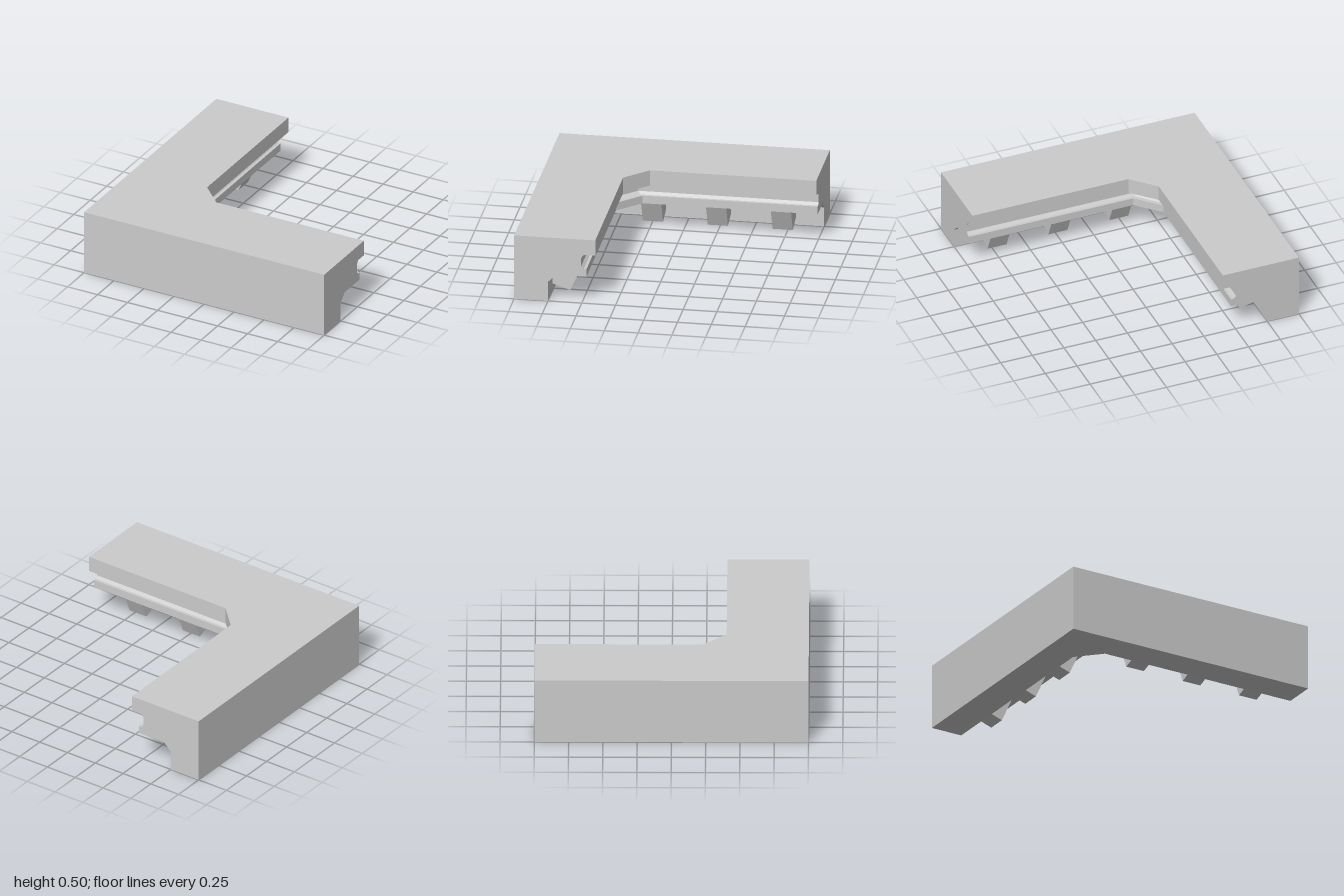
import * as THREE from 'three';

const material = new THREE.MeshStandardMaterial({ color: 0xcccccc, flatShading: true });

// Moulding profile as [distance from the corner axes, height]
const PROFILE = [
  [0.4, 0.5], [0.4, 0.38], [0.485, 0.38], [0.505, 0.355], [0.505, 0.29], [0.485, 0.27],
  [0.465, 0.27], [0.465, 0.21], [0.69, 0.21], [0.75, 0.15], [0.75, 0], [1, 0], [1, 0.5],
];
const CHAMFER = 0.17;

// Side profile of a bracket block as [distance, height]
const BRACKET = [[0.53, 0.208], [0.62, 0.01], [0.755, 0.055], [0.8, 0.07], [0.8, 0.15], [0.755, 0.152], [0.69, 0.208]];

// Where one profile point lies at each of the four stations along the L
function stations([d, y]) {
  const c = d === 1 ? 0 : CHAMFER;
  return [[1, y, d], [c - d, y, d], [-d, y, d - c], [-d, y, -1]].map(p => new THREE.Vector3(...p));
}

function createCornice() {
  const rails = PROFILE.map(stations);
  const points = [];
  const triangle = (a, b, c) => {
    const n = b.clone().sub(a).cross(c.clone().sub(a));
    if (n.lengthSq() > 1e-12) points.push(a, b, c);
    return n;
  };

  // Sweep the profile along the L with its chamfered inner corner
  rails.forEach((rail, i) => {
    const next = rails[(i + 1) % rails.length];
    for (let s = 0; s < 3; s++) {
      triangle(rail[s], next[s], next[s + 1]);
      triangle(rail[s], next[s + 1], rail[s + 1]);
    }
  });

  // Flat end caps, each turned to face outwards
  const faces = THREE.ShapeUtils.triangulateShape(PROFILE.map(p => new THREE.Vector2(...p)), []);
  for (const [s, out] of [[0, new THREE.Vector3(1, 0, 0)], [3, new THREE.Vector3(0, 0, -1)]]) {
    for (const face of faces) {
      const [a, b, c] = face.map(i => rails[i][s]);
      const n = b.clone().sub(a).cross(c.clone().sub(a));
      if (n.dot(out) > 0) triangle(a, b, c);
      else triangle(a, c, b);
    }
  }

  const geometry = new THREE.BufferGeometry().setFromPoints(points);
  geometry.computeVertexNormals();
  const mesh = new THREE.Mesh(geometry, material);
  mesh.name = 'corniceCorner';
  return mesh;
}

export function createModel() {
  const group = new THREE.Group();
  group.name = 'corniceCornerPiece';
  group.add(createCornice());

  // Bracket blocks under the ledge of both arms
  const width = 0.15;
  const shape = new THREE.Shape(BRACKET.map(p => new THREE.Vector2(...p)));
  const geometry = new THREE.ExtrudeGeometry(shape, { depth: width, bevelEnabled: false });
  geometry.translate(0, 0, -width / 2);

  for (const t of [-0.245, 0.235, 0.715]) {
    const front = new THREE.Mesh(geometry, material);
    front.name = 'frontArmBracket';
    front.rotation.y = -Math.PI / 2;
    front.position.x = t;

    const side = new THREE.Mesh(geometry, material);
    side.name = 'sideArmBracket';
    side.rotation.y = Math.PI;
    side.position.z = -t;
    group.add(front, side);
  }
  return group;
}
